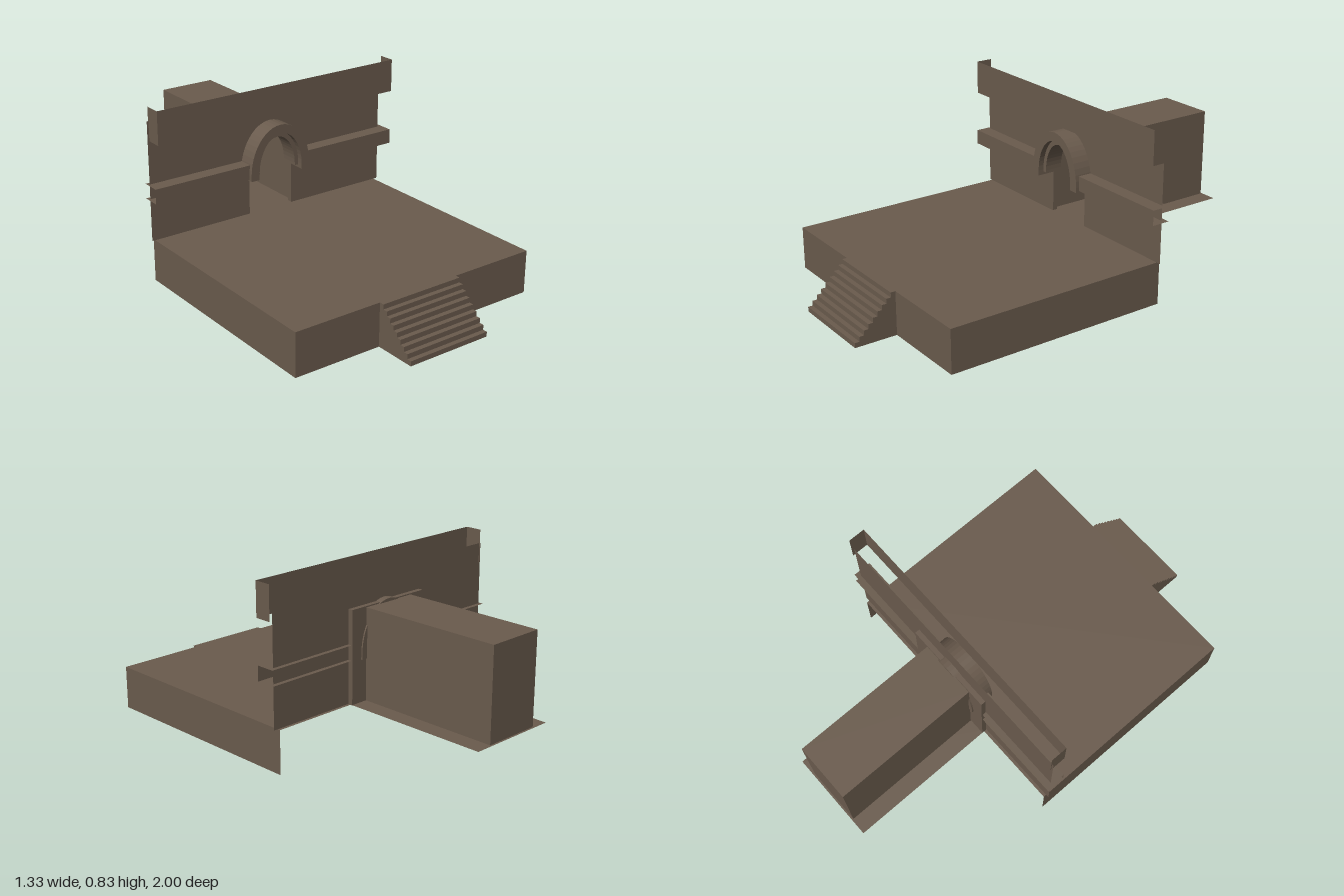
import * as THREE from 'three';

const material = new THREE.MeshStandardMaterial({ color: 0x6a5b4d, side: THREE.DoubleSide, flatShading: true });
const SIDES = ['+x', '-x', '+y', '-y', '+z', '-z'];

// Hollow box between two corners, keeping only the listed sides
function shell([x0, y0, z0], [x1, y1, z1], keep) {
  const g = new THREE.BoxGeometry(x1 - x0, y1 - y0, z1 - z0);
  const all = Array.from(g.index.array);
  g.setIndex(SIDES.flatMap((s, i) => (keep.includes(s) ? all.slice(i * 6, i * 6 + 6) : [])));
  g.clearGroups();
  g.translate((x0 + x1) / 2, (y0 + y1) / 2, (z0 + z1) / 2);
  return g;
}

const CX = -0.008; // centre line of the doorway

// Points over an arch from its left foot to its right foot
function archPoints(r, foot, top, spring = 0.425, n = 24) {
  const pts = [new THREE.Vector2(CX - r, foot)];
  for (let i = 0; i <= n; i++) {
    const a = Math.PI * (1 - i / n);
    pts.push(new THREE.Vector2(CX + r * Math.cos(a), spring + (top - spring) * Math.sin(a)));
  }
  pts.push(new THREE.Vector2(CX + r, foot));
  return pts;
}

// Rectangle standing on the platform, with the arched doorway cut from its foot
function doorwayShape(x0, x1, top) {
  return new THREE.Shape([
    new THREE.Vector2(x0, 0.203), ...archPoints(0.12, 0.203, 0.602),
    new THREE.Vector2(x1, 0.203), new THREE.Vector2(x1, top), new THREE.Vector2(x0, top),
  ]);
}

// Arch-shaped ring between two radii, running from z0 to z1
function archRing(rOut, topOut, rIn, topIn, foot, z0, z1) {
  const s = new THREE.Shape([...archPoints(rOut, foot, topOut), ...archPoints(rIn, foot, topIn).reverse()]);
  const g = new THREE.ExtrudeGeometry(s, { depth: z1 - z0, bevelEnabled: false });
  g.translate(0, 0, z0);
  return g;
}

export function createModel() {
  const model = new THREE.Group();
  model.name = 'templeEntrance';
  const add = (name, geometry) => {
    const mesh = new THREE.Mesh(geometry, material);
    mesh.name = name;
    model.add(mesh);
  };

  // Platform, open below and behind
  add('platform', shell([-0.64, 0, -0.282], [0.62, 0.203, 0.8], ['+x', '-x', '+y', '+z']));

  // Hollow stairs: a tread, a riser and two ends per step
  const stairs = new THREE.Group();
  stairs.name = 'stairs';
  const steps = 9, rise = 0.203 / steps, run = 0.2 / steps;
  for (let i = 0; i < steps; i++) {
    const z = 1 - i * run, y = i * rise;
    const step = new THREE.Mesh(shell([-0.216, y, z - run], [0.2, y + rise, z], ['+y', '+z']), material);
    step.name = 'step';
    const ends = new THREE.Mesh(shell([-0.216, 0, z - run], [0.2, y + rise, z], ['+x', '-x']), material);
    ends.name = 'stepEnds';
    stairs.add(step, ends);
  }
  model.add(stairs);

  // Thin facade wall with the doorway
  const wall = new THREE.ShapeGeometry(doorwayShape(-0.655, 0.64, 0.77));
  wall.translate(0, 0, -0.268);
  add('wall', wall);

  // Thicker panel behind the wall around the doorway
  const panel = new THREE.ExtrudeGeometry(doorwayShape(-0.23, 0.21, 0.635), { depth: 0.023, bevelEnabled: false });
  panel.translate(0, 0, -0.293);
  add('doorPanel', panel);

  // Cornice: front and ends only
  add('cornice', shell([-0.646, 0.677, -0.272], [0.658, 0.835, -0.192], ['+x', '-x', '+z']));

  // Middle band, open at its ends, stopping at the arch on each side
  for (const [x0, x1] of [[-0.665, -0.165], [0.148, 0.662]]) {
    add('band', shell([x0, 0.406, -0.288], [x1, 0.476, -0.2], ['+y', '-y', '+z']));
  }

  // Arch moulding and its recessed inner lip
  add('archTrim', archRing(0.164, 0.645, 0.12, 0.602, 0.4, -0.3, -0.182));
  add('archLip', archRing(0.12, 0.602, 0.1, 0.578, 0.415, -0.298, -0.21));

  // Passage behind the doorway, open at the front, on a wider floor
  add('passage', shell([-0.15, 0.205, -0.992], [0.127, 0.63, -0.294], ['+x', '-x', '+y', '-z']));
  add('passageFloor', shell([-0.23, 0.19, -1], [0.21, 0.204, -0.27], ['+y']));

  return model;
}
